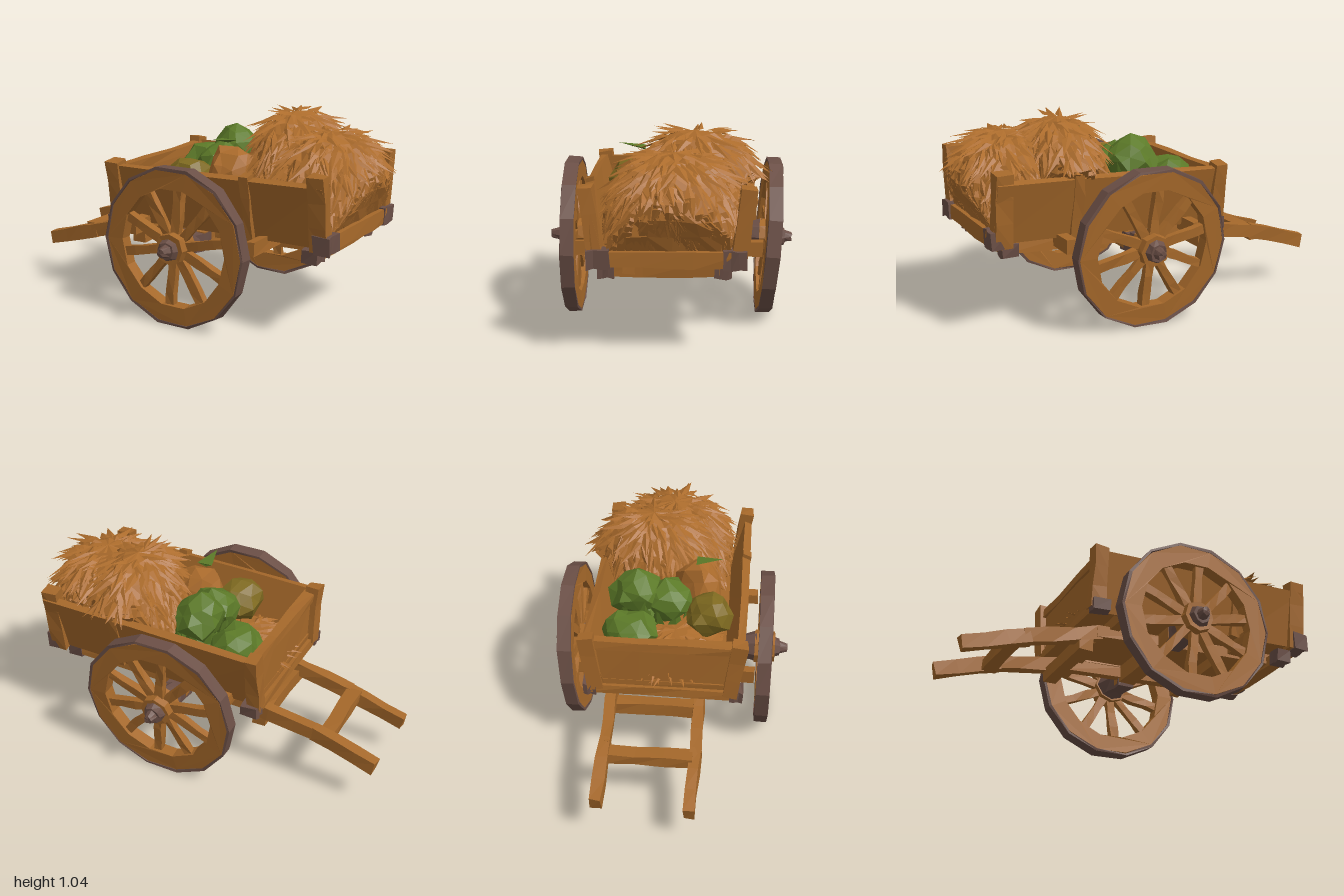
import * as THREE from 'three';

const V = (x, y, z) => new THREE.Vector3(x, y, z);

export function createModel() {
  const cart = new THREE.Group();
  cart.name = 'hayCart';
  const paint = (name, color, side = THREE.FrontSide) => {
    const m = new THREE.MeshStandardMaterial({ color, side });
    m.name = name;
    return m;
  };
  const wood = paint('wood', 0xa5682a);
  const iron = paint('darkIron', 0x6b4f46);
  const hay = paint('hay', 0xac6c2c, THREE.DoubleSide);
  const green = paint('cabbageGreen', 0x5c7a28, THREE.DoubleSide);
  const olive = paint('oliveGreen', 0x7f6a20);

  let seed = 7;
  const rnd = () => (seed = (seed * 16807) % 2147483647) / 2147483647;
  const spread = (a) => (rnd() * 2 - 1) * a;

  // Hand-hewn look: shift every distinct corner a little, then facet
  const rough = (geo, amount) => {
    const p = geo.attributes.position, moved = {};
    for (let i = 0; i < p.count; i++) {
      const k = [p.getX(i), p.getY(i), p.getZ(i)].map((n) => Math.round(n * 1e4)).join();
      moved[k] ??= V(spread(amount), spread(amount), spread(amount));
      p.setXYZ(i, p.getX(i) + moved[k].x, p.getY(i) + moved[k].y, p.getZ(i) + moved[k].z);
    }
    const g = geo.index ? geo.toNonIndexed() : geo;
    g.computeVertexNormals();
    return g;
  };
  const add = (name, geo, mat, parent = cart) => {
    const m = new THREE.Mesh(geo, mat);
    m.name = name;
    parent.add(m);
    return m;
  };
  // Timber running from a to b, w wide and h high
  const beam = (name, a, b, w, h, mat = wood, up = V(0, 1, 0), parent = cart) => {
    const m = add(name, rough(new THREE.BoxGeometry(w, h, a.distanceTo(b), 1, 1, 3), 0.005), mat, parent);
    m.up.copy(up);
    m.position.copy(a).lerp(b, 0.5);
    m.lookAt(b);
    return m;
  };
  // Crossbeam with iron-shod ends
  const shodBeam = (name, x, y, z0, z1, w, h, tip) => {
    beam(name, V(x, y, z0 + 0.01), V(x, y, z1 - 0.01), w, h);
    beam(name + 'Cap', V(x, y, z0), V(x, y, z0 + tip), w + 0.014, h + 0.014, iron);
    beam(name + 'Cap', V(x, y, z1 - tip), V(x, y, z1), w + 0.014, h + 0.014, iron);
  };

  // Bed and end board
  beam('floor', V(-0.38, 0.485, 0), V(0.82, 0.5, 0), 0.64, 0.035);
  beam('frontBoard', V(-0.355, 0.59, -0.35), V(-0.355, 0.59, 0.35), 0.035, 0.27);
  beam('frontRail', V(-0.355, 0.715, -0.38), V(-0.355, 0.715, 0.38), 0.055, 0.05);

  // Flared sides with stakes
  for (const s of [1, -1]) {
    beam('sideBoard', V(-0.38, 0.595, 0.35 * s), V(0.84, 0.63, 0.35 * s), 0.04, 0.31, wood, V(0, 0.96, 0.24 * s));
    beam('frontPost', V(-0.37, 0.45, 0.345 * s), V(-0.37, 0.765, 0.385 * s), 0.075, 0.07, wood, V(1, 0, 0));
    beam('middleStake', V(0.42, 0.46, 0.33 * s), V(0.42, 0.79, 0.39 * s), 0.05, 0.05, wood, V(1, 0, 0));
    beam('rearPost', V(0.8, 0.46, 0.325 * s), V(0.8, 0.83, 0.375 * s), 0.07, 0.085, wood, V(1, 0, 0));
  }

  // Undercarriage
  shodBeam('rearSill', 0.82, 0.497, -0.365, 0.375, 0.07, 0.075, 0.11);
  shodBeam('rearCrossbeam', 0.74, 0.42, -0.3, 0.33, 0.07, 0.055, 0.08);
  shodBeam('frontSill', -0.36, 0.448, -0.41, 0.41, 0.075, 0.045, 0.07);
  beam('frontCrossbeam', V(-0.36, 0.32, -0.28), V(-0.36, 0.32, 0.21), 0.07, 0.07);
  for (const x of [-0.21, 0.49]) beam('bolster', V(x, 0.45, -0.46), V(x, 0.45, 0.46), 0.05, 0.07);
  beam('axle', V(0.09, 0.4, -0.32), V(0.09, 0.4, 0.32), 0.09, 0.09);
  for (const s of [1, -1]) beam('axleEnd', V(0.09, 0.39, 0.26 * s), V(0.09, 0.4, 0.46 * s), 0.095, 0.095, iron);

  // Shafts with a rung between them
  for (const [z, y] of [[0.185, 0.2], [-0.265, 0.235]]) {
    beam('shaft', V(-0.99, y, z), V(-0.65, y + 0.1, z + 0.005), 0.055, 0.075);
    beam('shaft', V(-0.68, y + 0.092, z + 0.005), V(-0.28, 0.395, z), 0.055, 0.07);
    beam('bedBearer', V(-0.3, 0.395, z), V(0.78, 0.44, z), 0.055, 0.06);
  }
  beam('shaftRung', V(-0.71, 0.3, -0.25), V(-0.71, 0.295, 0.18), 0.075, 0.055);

  // Wheels: wooden rim, iron tyre, spokes and hub
  const ring = (outer, inner, depth) => {
    const poly = (r) => Array.from({ length: 14 }, (_, i) =>
      new THREE.Vector2(r * Math.cos(i * Math.PI / 7), r * Math.sin(i * Math.PI / 7)));
    const shape = new THREE.Shape(poly(outer));
    shape.holes.push(new THREE.Path(poly(inner)));
    return new THREE.ExtrudeGeometry(shape, { depth, bevelEnabled: false }).translate(0, 0, -depth / 2);
  };
  const turned = (z0, r0, z1, r1) =>
    rough(new THREE.CylinderGeometry(r1, r0, z1 - z0, 8).rotateX(Math.PI / 2).translate(0, 0, (z0 + z1) / 2), 0.004);
  const wheel = (name, z, tilt, turn) => {
    const g = new THREE.Group();
    g.name = name;
    add('rim', rough(ring(0.398, 0.305, 0.066), 0.003), wood, g);
    add('tyre', rough(ring(0.411, 0.398, 0.07), 0.003), iron, g);
    for (let i = 0; i < 10; i++) {
      const a = (i + 0.35) * Math.PI / 5, c = Math.cos(a), s = Math.sin(a);
      beam('spoke', V(0.06 * c, 0.06 * s, 0), V(0.325 * c, 0.325 * s, 0), 0.036, 0.045, wood, V(-s, c, 0), g);
    }
    add('hub', turned(-0.05, 0.09, 0.055, 0.08), wood, g);
    add('innerHub', turned(-0.14, 0.055, -0.04, 0.085), iron, g);
    add('hubCap', turned(0.05, 0.06, 0.085, 0.045), iron, g);
    add('axlePin', turned(0.08, 0.035, 0.125, 0.022), iron, g);
    g.position.set(0.09, 0.406, z);
    g.rotation.set(tilt, turn, 0);
    cart.add(g);
  };
  wheel('leftWheel', 0.508, 0, 0);
  wheel('rightWheel', -0.508, -0.07, Math.PI);

  // Keeps straw above the floor, between the sides and off the tail sill
  const contain = (p) => {
    p.y = Math.max(p.y, 0.515);
    if (p.y < 0.78) {
      const lim = 0.275 + (p.y - 0.46) * 0.2;
      p.z = THREE.MathUtils.clamp(p.z, -lim, lim);
      p.x = Math.min(p.x, 0.82 + (p.y - 0.515) * 0.5);
    }
    return p;
  };
  // Heaped straw: a bulging dome thatched with folded blades
  const heap = (name, c, r, count, size) => {
    const at = (a, phi) => {
      const h = Math.pow(Math.sin(Math.min(phi, Math.PI / 2)), 0.8);
      return contain(V(c.x + r.x * h * Math.cos(a), c.y + r.y * Math.cos(phi), c.z + r.z * h * Math.sin(a)));
    };
    const core = new THREE.SphereGeometry(1, 18, 8, 0, Math.PI * 2, 0, Math.PI / 2);
    const q = core.attributes.position;
    for (let i = 0; i < q.count; i++) {
      const p = at(Math.atan2(q.getZ(i), q.getX(i)), Math.acos(THREE.MathUtils.clamp(q.getY(i), 0, 1)));
      q.setXYZ(i, p.x, p.y, p.z);
    }
    add(name + 'Core', rough(core, 0.008), hay);
    const pos = [];
    for (let i = 0; i < count; i++) {
      const a = rnd() * Math.PI * 2, phi = Math.acos(1 - rnd() * 0.9);
      const p = at(a, phi);
      const n = p.clone().sub(c).divide(r).divide(r).normalize();
      const d = at(a, phi + 0.08).sub(p).normalize();
      const side = d.clone().cross(n).normalize();
      d.addScaledVector(side, spread(0.6)).normalize();
      const len = size * (0.6 + rnd() * 0.8), w = size * (0.1 + rnd() * 0.09);
      const tip = contain(p.clone().addScaledVector(d, len).addScaledVector(n, 0.005 + rnd() * 0.045));
      const mid = contain(p.clone().addScaledVector(d, len * 0.4).addScaledVector(n, 0.02));
      const l = contain(mid.clone().addScaledVector(side, -w).addScaledVector(n, -0.012));
      const k = contain(mid.clone().addScaledVector(side, w).addScaledVector(n, -0.012));
      for (const v of [p, l, mid, mid, l, tip, p, mid, k, mid, tip, k]) pos.push(v.x, v.y, v.z);
    }
    const g = new THREE.BufferGeometry();
    g.setAttribute('position', new THREE.Float32BufferAttribute(pos, 3));
    g.computeVertexNormals();
    add(name + 'Blades', g, hay);
  };
  heap('tallHay', V(0.42, 0.53, -0.13), V(0.23, 0.49, 0.34), 520, 0.16);
  heap('rearHay', V(0.66, 0.53, -0.03), V(0.29, 0.43, 0.33), 650, 0.16);
  heap('looseStraw', V(-0.06, 0.515, 0.04), V(0.25, 0.09, 0.25), 130, 0.15);

  // Vegetables
  const veg = (name, x, y, z, r, mat, squash = 1) => {
    const m = add(name, rough(new THREE.IcosahedronGeometry(r, 1), r * 0.14), mat);
    m.position.set(x, y, z);
    m.scale.y = squash;
  };
  const leaf = (x, y, z, turn, lean, len) => {
    const m = add('leaf', rough(new THREE.ConeGeometry(len * 0.35, len, 3).scale(1, 1, 0.25), 0.003), green);
    m.position.set(x, y, z);
    m.rotation.set(lean, turn, 0, 'YXZ');
  };
  // Cabbage head ringed by loose outer leaves
  const cabbage = (x, y, z, r) => {
    veg('cabbage', x, y, z, r, green, 0.95);
    for (let i = 0; i < 6; i++) {
      const a = i * Math.PI / 3;
      leaf(x + r * 0.85 * Math.sin(a), y - r * 0.35, z + r * 0.85 * Math.cos(a), a, 0.25, r);
    }
  };
  cabbage(-0.18, 0.66, -0.19, 0.13);
  cabbage(0.03, 0.775, -0.18, 0.13);
  cabbage(0.03, 0.73, -0.01, 0.12);
  cabbage(0.06, 0.62, -0.14, 0.12);
  veg('oliveCabbage', -0.01, 0.675, 0.21, 0.125, olive, 0.95);
  veg('turnip', 0.2, 0.71, 0.14, 0.13, hay, 1.25);
  leaf(0.16, 0.9, 0.2, 0, 1.35, 0.14);

  return cart;
}
